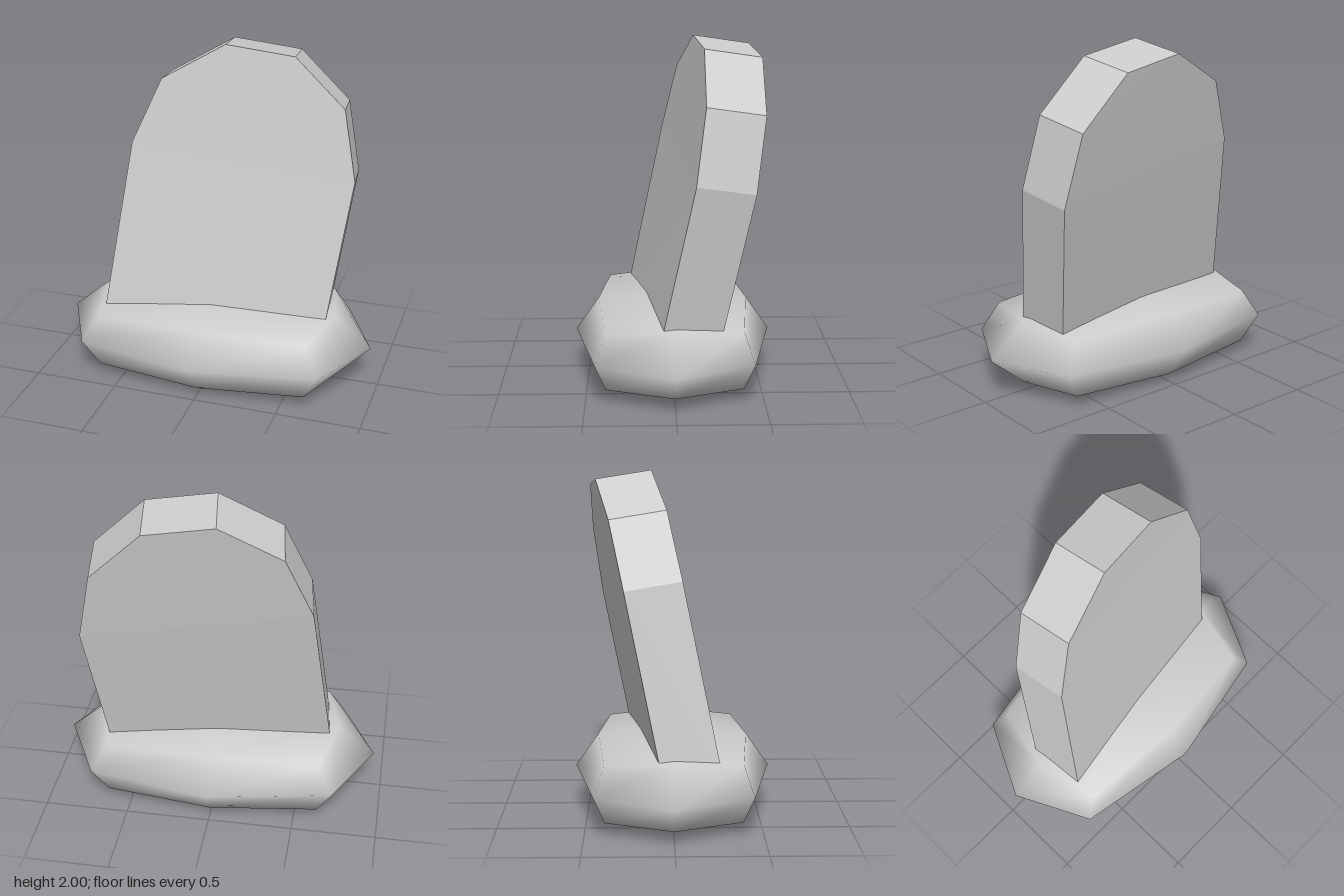
import * as THREE from 'three';
import { mergeVertices } from 'three/addons/utils/BufferGeometryUtils.js';

// Smooth lumpy mound: a once-divided box whose edges and corners are pulled in
function moundGeometry() {
  const box = new THREE.BoxGeometry(2, 2, 2, 2, 2, 2);
  box.deleteAttribute('normal');
  box.deleteAttribute('uv');
  const geo = mergeVertices(box);
  const p = geo.attributes.position;
  const v = new THREE.Vector3();
  for (let i = 0; i < p.count; i++) {
    v.fromBufferAttribute(p, i);
    const outer = Math.round(Math.abs(v.x) + Math.abs(v.y) + Math.abs(v.z)); // 1 face, 2 edge, 3 corner
    const pull = [0, 1, 0.768, 0.67][outer];
    const pullY = [0, 1, 0.8, 0.7][outer];
    p.setXYZ(i, v.x * pull * 0.948, 0.242 + v.y * pullY * 0.237, v.z * pull * 0.576);
  }
  geo.computeVertexNormals();
  return geo;
}

// Leaning slab: the front outline swept back along one slanted offset
function slabGeometry() {
  const outline = [
    [-0.66, 0.25, 0.287], [-0.52, 1.41, 0.05], [-0.36, 1.79, -0.035], [0, 2, -0.12],
    [0.4, 1.95, -0.167], [0.7, 1.665, -0.165], [0.785, 1.25, -0.11], [0.66, 0.25, 0.1],
  ];
  const n = outline.length;
  const front = outline;
  const back = outline.map(([x, y, z]) => [x - 0.043, y - 0.05, z - 0.325]);
  const pos = [];
  const quad = (a, b, c, d) => pos.push(...a, ...b, ...c, ...a, ...c, ...d);
  // Front and back faces, in strips from side to side
  for (let j = 0; j < n / 2 - 1; j++) {
    const [a, b, c, d] = [j, n - 1 - j, n - 2 - j, j + 1];
    quad(front[a], front[b], front[c], front[d]);
    quad(back[d], back[c], back[b], back[a]);
  }
  // Rim
  for (let i = 0; i < n; i++) {
    const k = (i + 1) % n;
    quad(front[i], front[k], back[k], back[i]);
  }
  const geo = new THREE.BufferGeometry();
  geo.setAttribute('position', new THREE.Float32BufferAttribute(pos, 3));
  geo.computeVertexNormals();
  return geo;
}

export function createModel() {
  const stone = new THREE.MeshStandardMaterial({ color: 0xcccccc });
  stone.name = 'stoneGrey';

  const group = new THREE.Group();
  group.name = 'gravestone';
  const add = (name, geo) => {
    const mesh = new THREE.Mesh(geo, stone);
    mesh.name = name;
    group.add(mesh);
  };
  add('mound', moundGeometry());
  add('headstone', slabGeometry());
  return group;
}
